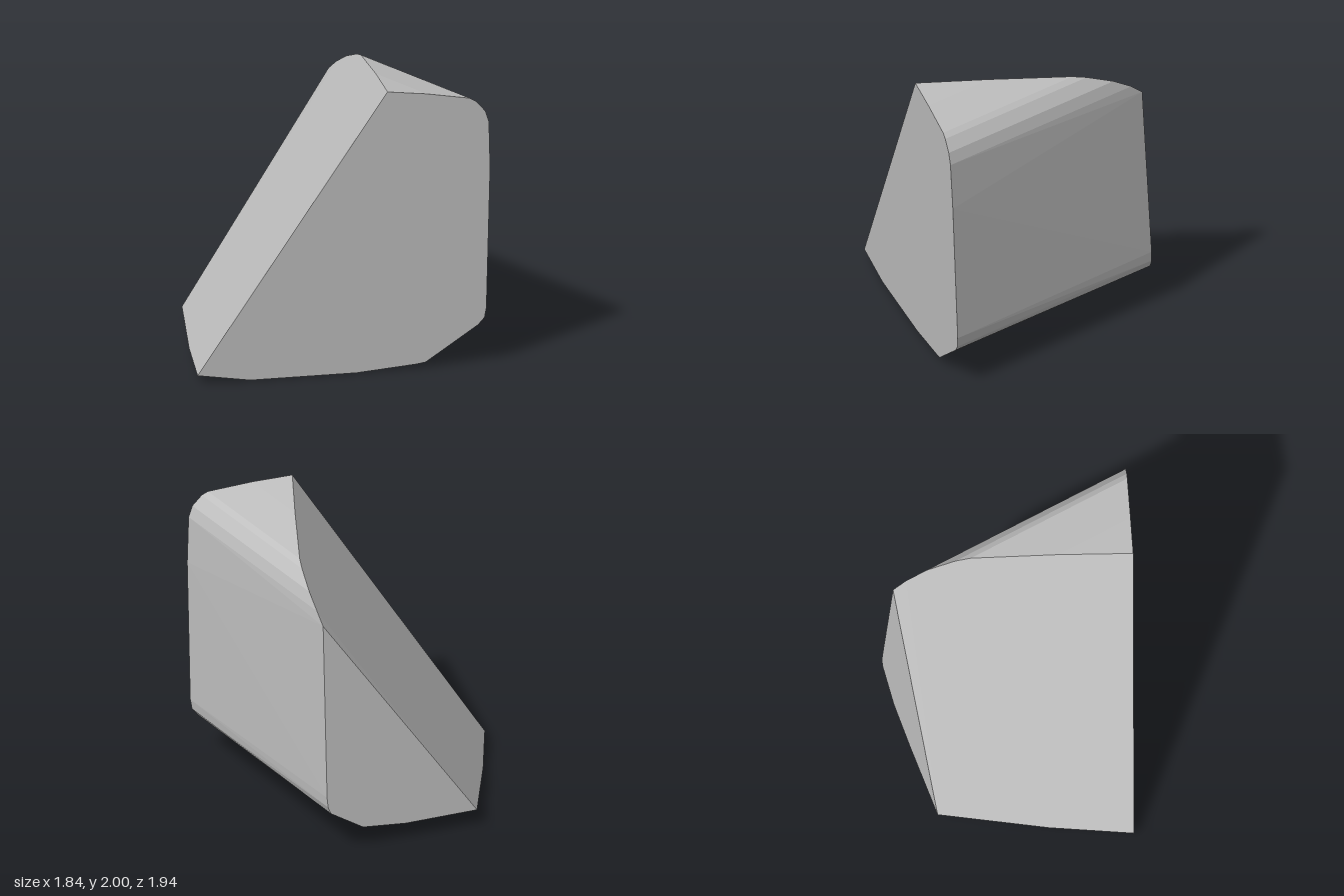
import * as THREE from 'three';
import { ConvexGeometry } from 'three/addons/geometries/ConvexGeometry.js';

// Planes that cut the block
const frontZ = (x, y) => 0.534 + 0.3994 * x + 0.043 * y;
const backZ = (x, y) => -0.957 + 0.08 * x + 0.061 * y;
const slopeY = (x, z) => 1.1464 + 1.31 * x + 0.7307 * z;

export function createModel() {
  const group = new THREE.Group();
  group.name = 'cutBlock';
  const stone = new THREE.MeshStandardMaterial({ color: 0xbfbfbf });
  stone.name = 'stone grey';
  const points = [];

  // Rounded upper corner: swept backwards until it meets the sloping cut
  const upper = [[0.25, 2], [0.5, 1.965], [0.78, 1.91], [0.82, 1.885], [0.88, 1.81], [0.905, 1.73]];
  for (const [x, y] of upper) {
    const z = frontZ(x, y);
    points.push(new THREE.Vector3(x, y, z));
    const t = (slopeY(x, z) - y) / 0.786;
    if (t > 0.02) points.push(new THREE.Vector3(x - 0.05 * t, y - 0.01 * t, z - t));
  }

  // Front face: right side and underside outline
  const frontEdge = [[0.92, 1.4], [0.92, 0.4], [0.91, 0.33], [0.87, 0.28], [0.54, 0.04],
    [0.48, 0.03], [0.1, 0], [-0.58, 0.005], [-0.92, 0.065]];
  for (const [x, y] of frontEdge) points.push(new THREE.Vector3(x, y, frontZ(x, y)));

  // Back face: a tall triangle with a rounded lower corner
  const backEdge = [[0.825, 1.64], [0.835, 0.4], [0.83, 0.33], [0.81, 0.28], [0.58, 0.14],
    [0.27, 0.11], [-0.25, 0.11]];
  for (const [x, y] of backEdge) points.push(new THREE.Vector3(x, y, backZ(x, y)));

  // Bend in the lower left edge and lowest point of the underside
  points.push(new THREE.Vector3(-0.64, 0.067, -0.33), new THREE.Vector3(-0.42, 0, 0.2));

  const block = new THREE.Mesh(new ConvexGeometry(points), stone);
  block.name = 'block';
  group.add(block);
  return group;
}
